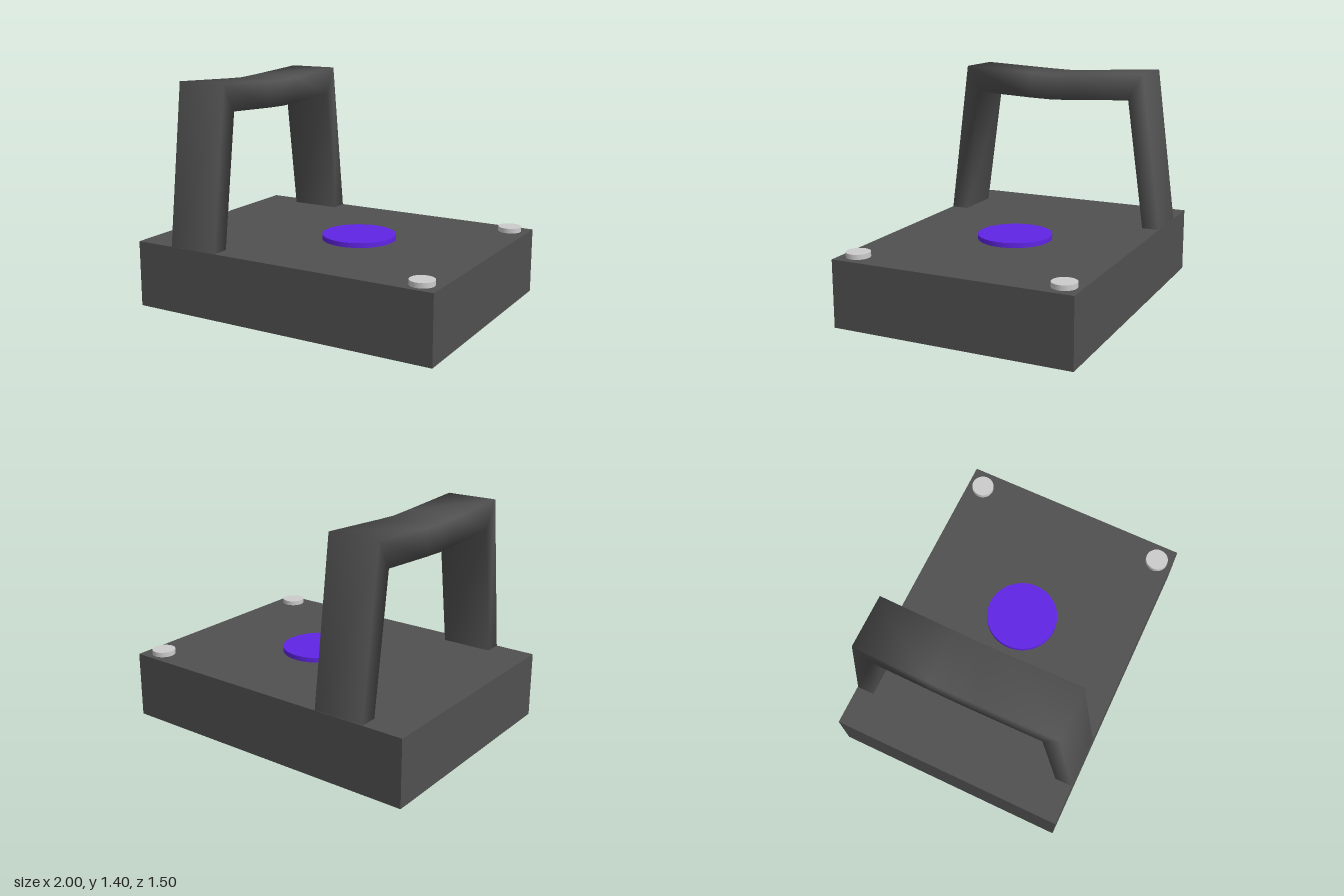
import * as THREE from 'three';

const BASE_TOP = 0.415;

function addMesh(group, name, geometry, color, x = 0, y = 0, z = 0) {
  const material = new THREE.MeshStandardMaterial({ color });
  const mesh = new THREE.Mesh(geometry, material);
  mesh.name = name;
  mesh.position.set(x, y, z);
  group.add(mesh);
  return mesh;
}

// Rectangular section swept along the arch; each entry is outer z, y and inner z, y
function handleGeometry(x0, x1) {
  const half = [
    [0.752, 0.4, 0.642, 0.4],
    [0.62, 1.405, 0.525, 1.235],
    [0.15, 1.381, 0.15, 1.216],
  ];
  const mirrored = half.map(([zo, yo, zi, yi]) => [-zo, yo, -zi, yi]).reverse();
  const sections = [...half, [0, 1.375, 0, 1.211], ...mirrored];

  const positions = [];
  for (const [zo, yo, zi, yi] of sections) {
    positions.push(x0, yo, zo, x1, yo, zo, x1, yi, zi, x0, yi, zi);
  }
  const index = [];
  for (let i = 0; i < sections.length - 1; i++) {
    for (let j = 0; j < 4; j++) {
      const a = i * 4 + j;
      const b = i * 4 + ((j + 1) % 4);
      index.push(a, b, b + 4, a, b + 4, a + 4);
    }
  }
  const geometry = new THREE.BufferGeometry();
  geometry.setAttribute('position', new THREE.Float32BufferAttribute(positions, 3));
  geometry.setIndex(index);
  geometry.computeVertexNormals(); // shared vertices give soft edges
  return geometry;
}

export function createModel() {
  const group = new THREE.Group();
  group.name = 'handledBlock';

  // Base block
  addMesh(group, 'base', new THREE.BoxGeometry(2, BASE_TOP, 1.505), 0x505050, 0, BASE_TOP / 2);

  // Carrying handle with a slightly sagging grip
  addMesh(group, 'handle', handleGeometry(-0.745, -0.42), 0x505050);

  // Round button
  const height = 0.03;
  const y = BASE_TOP + height / 2;
  addMesh(group, 'button', new THREE.CylinderGeometry(0.23, 0.23, height, 64), 0x6024e4, 0.135, y);

  // Corner studs
  for (const [name, side] of [['frontStud', 1], ['backStud', -1]]) {
    addMesh(group, name, new THREE.CylinderGeometry(0.073, 0.073, height, 32), 0xcccccc, 0.883, y, side * 0.648);
  }

  return group;
}
